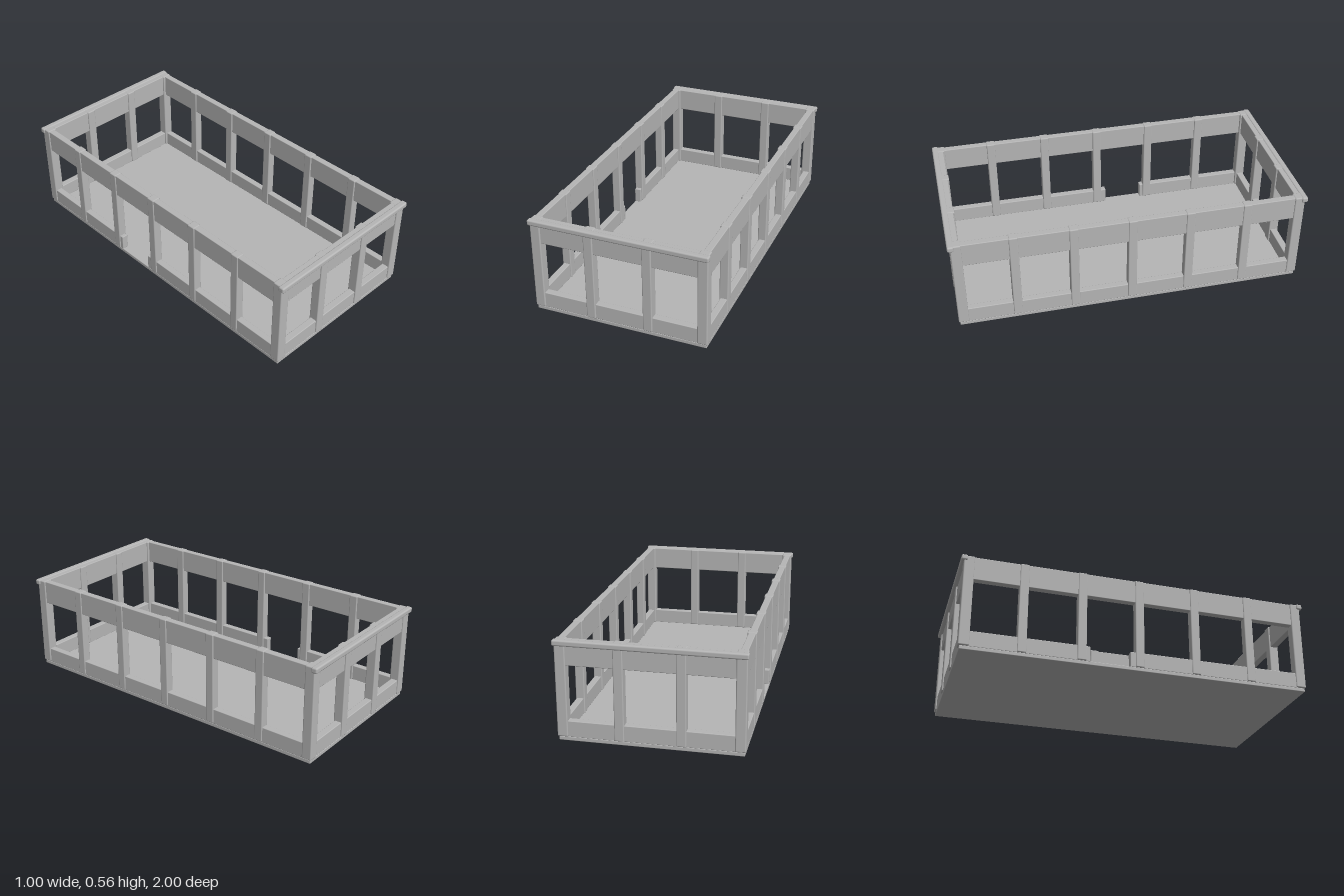
import * as THREE from 'three';
import { RoundedBoxGeometry } from 'three/addons/geometries/RoundedBoxGeometry.js';

export function createModel() {
  const model = new THREE.Group();
  model.name = 'openFrameTray';
  const grey = new THREE.MeshStandardMaterial({ color: 0xb6b6b6 });
  grey.name = 'plain grey';

  // Softly rounded bar given by its min and max on each axis
  function bar(name, [x0, x1], [y0, y1], [z0, z1], radius = 0.004) {
    const geometry = new RoundedBoxGeometry(x1 - x0, y1 - y0, z1 - z0, 2, radius);
    const mesh = new THREE.Mesh(geometry, grey);
    mesh.position.set((x0 + x1) / 2, (y0 + y1) / 2, (z0 + z1) / 2);
    mesh.name = name;
    model.add(mesh);
  }
  // Range from a to b, reflected when s is -1
  const span = (s, a, b) => (s > 0 ? [a, b] : [-b, -a]);

  const top = 0.553, foot = 0.023;
  const lowY = [0.02, 0.11], highY = [0.415, top - 0.002];

  bar('floor', [-0.487, 0.487], [0, 0.022], [-0.978, 0.978]);

  for (const s of [-1, 1]) {
    // Short ends: rails, cap and two inner posts
    const endZ = span(s, 0.937, 0.977);
    bar('endLowerRail', [-0.46, 0.46], lowY, endZ);
    bar('endUpperRail', [-0.46, 0.46], highY, endZ);
    bar('endCap', [-0.5, 0.5], [0.523, 0.555], span(s, 0.965, 1), 0.009);
    for (const x of [-0.162, 0.162])
      bar('endPost', [x - 0.026, x + 0.026], [foot, top], span(s, 0.929, 0.985), 0.006);

    // Long sides: rails and five posts
    const sideX = span(s, 0.449, 0.487);
    bar('sideUpperRail', sideX, highY, [-0.95, 0.95]);
    if (s > 0) {
      bar('sideLowerRail', sideX, lowY, [-0.95, 0.95]);
    } else {
      // Right lower rail is broken by an opening between two posts
      bar('sideLowerRailBack', sideX, lowY, [-0.95, -0.28]);
      bar('sideLowerRailFront', sideX, lowY, [-0.055, 0.95]);
    }
    for (const z of [-0.652, -0.326, 0, 0.326, 0.652])
      bar('sidePost', span(s, 0.442, 0.492), [foot, top], [z - 0.025, z + 0.025], 0.006);

    // Corner posts
    for (const t of [-1, 1])
      bar('cornerPost', span(s, 0.436, 0.493), [foot, top], span(t, 0.927, 0.985), 0.007);
  }
  return model;
}
